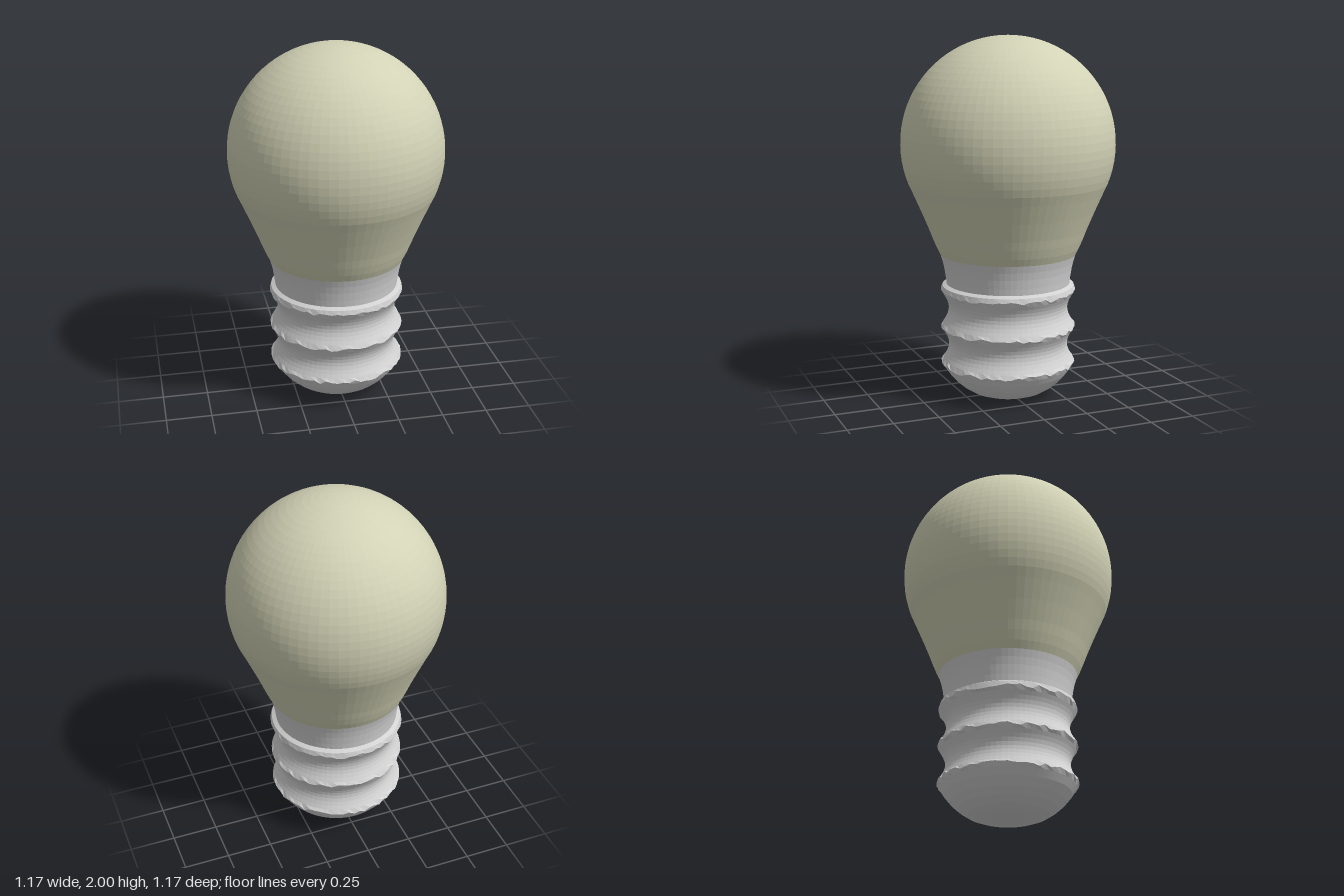
import * as THREE from 'three';

const SEGMENTS = 72;

// Small repeatable pseudo-random value in -1..1
const noise = (a, b) => {
  const s = Math.sin(a * 12.9898 + b * 78.233) * 43758.5453;
  return 2 * (s - Math.floor(s)) - 1;
};

// Faceted lathe; wobble(y) gives how uneven the surface is at each height
function turned(name, points, material, wobble = () => 0) {
  const lathe = new THREE.LatheGeometry(points.map(([r, y]) => new THREE.Vector2(r, y)), SEGMENTS);
  const pos = lathe.attributes.position;
  const rows = points.length;
  for (let i = 0; i < pos.count; i++) {
    const column = Math.floor(i / rows) % SEGMENTS; // last column repeats the first
    const y = pos.getY(i);
    pos.setY(i, y + wobble(y) * noise(column, i % rows));
  }
  const geometry = lathe.toNonIndexed();
  geometry.computeVertexNormals();
  const mesh = new THREE.Mesh(geometry, material);
  mesh.name = name;
  return mesh;
}

export function createModel() {
  const glass = new THREE.MeshStandardMaterial({ name: 'cream glass', color: 0xd2d2b6 });
  const metal = new THREE.MeshStandardMaterial({ name: 'light grey metal', color: 0xd2d2d2 });
  const group = new THREE.Group();
  group.name = 'lightBulb';

  // Glass: tapering neck running into a spherical dome
  const bulb = [[0.375, 0.81], [0.395, 0.85], [0.416, 0.9], [0.435, 0.95], [0.456, 1.0], [0.477, 1.05], [0.499, 1.1], [0.521, 1.15]];
  const start = -0.375, steps = 26;
  for (let i = 0; i <= steps; i++) {
    const a = start + (Math.PI / 2 - start) * i / steps;
    bulb.push([i === steps ? 0 : 0.585 * Math.cos(a), 1.415 + 0.585 * Math.sin(a)]);
  }
  group.add(turned('glassBulb', bulb, glass));

  // Rounded foot of the screw base
  const base = [[0, 0.005], [0.1, 0.007], [0.165, 0.015], [0.215, 0.034], [0.26, 0.063], [0.3, 0.098], [0.335, 0.14], [0.36, 0.177]];

  // Two scooped thread grooves between sharp ridges
  const ridges = [0.195, 0.4, 0.607];
  for (let g = 0; g < 2; g++) {
    for (let i = 0; i < 10; i++) {
      const t = i / 10;
      base.push([0.373 - 0.043 * Math.sin(Math.PI * t), ridges[g] + (ridges[g + 1] - ridges[g]) * t]);
    }
  }

  // Top ridge and flared collar that holds the glass
  base.push([0.373, 0.607], [0.365, 0.633], [0.342, 0.645], [0.346, 0.68], [0.354, 0.73], [0.363, 0.77], [0.375, 0.81]);

  // Ridges are slightly ragged
  const ragged = y => ridges.some(r => Math.abs(y - r) < 0.005) ? 0.011 : 0;
  group.add(turned('screwBase', base, metal, ragged));

  return group;
}
